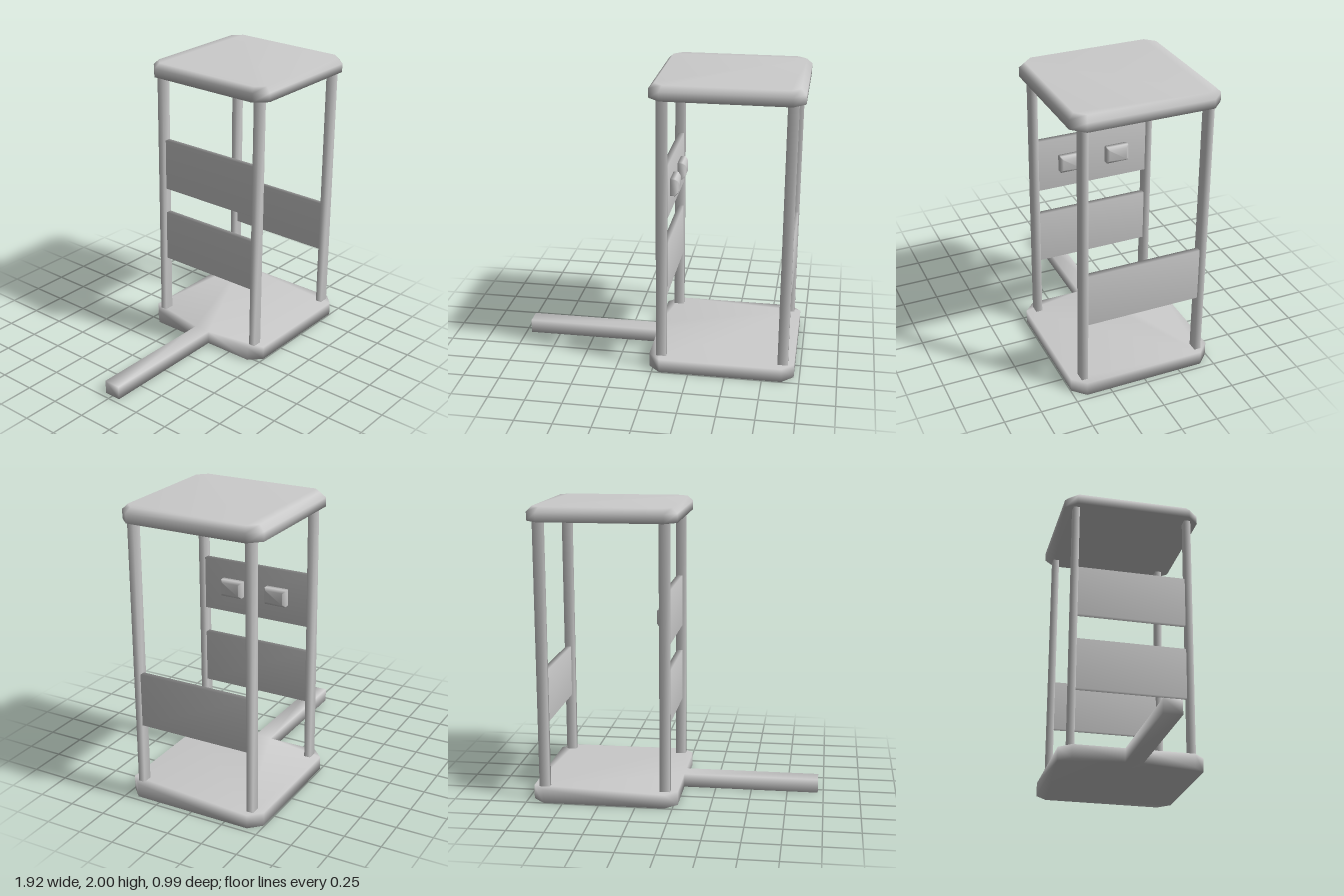
import * as THREE from 'three';
import { mergeVertices } from 'three/addons/utils/BufferGeometryUtils.js';

const material = new THREE.MeshStandardMaterial({ color: 0xcccccc });

// Weld the corners so that shading runs softly over the edges
function soften(geometry) {
  geometry.deleteAttribute('normal');
  geometry.deleteAttribute('uv');
  const welded = mergeVertices(geometry, 1e-4);
  welded.computeVertexNormals();
  return welded;
}

// Rectangle with cut corners, counter-clockwise seen from above
function cutRect(hw, hd, c) {
  const quarter = [[hw, hd - c], [hw - c, hd]];
  const other = [[-(hw - c), hd], [-hw, hd - c]];
  const half = [...quarter, ...other];
  return [...half, ...half.map(([x, y]) => [-x, -y])];
}

// Stack of cut rectangles [halfWidth, halfDepth, cut, y], capped at both ends
function loft(levels) {
  const positions = [], index = [], n = 8;
  for (const [hw, hd, c, y] of levels) {
    for (const [x, v] of cutRect(hw, hd, c)) positions.push(x, y, -v);
  }
  const top = (levels.length - 1) * n;
  for (let l = 0; l < top; l += n) {
    for (let i = 0; i < n; i++) {
      const a = l + i, b = l + (i + 1) % n;
      index.push(a, b, b + n, a, b + n, a + n);
    }
  }
  for (let i = 1; i < n - 1; i++) {
    index.push(top, top + i, top + i + 1, 0, i + 1, i);
  }
  const geometry = new THREE.BufferGeometry();
  geometry.setAttribute('position', new THREE.Float32BufferAttribute(positions, 3));
  geometry.setIndex(index);
  geometry.computeVertexNormals();
  return geometry;
}

export function createModel() {
  const group = new THREE.Group();
  const add = (name, geometry, x, y, z) => {
    const mesh = new THREE.Mesh(geometry, material);
    mesh.name = name;
    mesh.position.set(x, y, z);
    group.add(mesh);
  };
  const centre = 0.467, half = 0.495, cut = 0.08;

  // Floor plate with the long bar growing out of its side, one outline
  const plate = cutRect(half, half, cut).map(([x, y]) => new THREE.Vector2(x + centre, y));
  const bar = [[-0.028, 0.06], [-0.962, 0.06], [-0.962, -0.06], [-0.028, -0.06]]
    .map(([x, y]) => new THREE.Vector2(x, y));
  plate.splice(4, 0, ...bar);
  const floor = new THREE.ExtrudeGeometry(new THREE.Shape(plate), { depth: 0.095, bevelEnabled: false });
  floor.rotateX(-Math.PI / 2);
  add('floorWithBar', soften(floor), 0, 0, 0);

  // Roof plate with a chamfered upper rim
  add('roof', loft([
    [half, half, cut, 0],
    [half, half, cut, 0.06],
    [half - 0.035, half - 0.035, cut - 0.02, 0.095],
  ]), centre, 1.905, 0);

  // Four corner posts
  const post = soften(new THREE.BoxGeometry(0.07, 1.82, 0.045));
  for (const x of [0.057, 0.885]) {
    for (const z of [-0.413, 0.413]) add('post', post, x, 1.0, z);
  }

  // Boards between the posts: two on the bar side, one opposite
  const board = soften(new THREE.BoxGeometry(0.04, 0.365, 0.785));
  add('lowerBoard', board, 0.066, 0.7, 0);
  add('upperBoard', board, 0.066, 1.25, 0);
  add('oppositeBoard', board, 0.894, 0.7, 0);

  // Pair of chamfered pads on the upper board
  const pad = loft([
    [0.06, 0.082, 0.006, 0],
    [0.06, 0.082, 0.006, 0.035],
    [0.042, 0.064, 0.004, 0.053],
  ]).rotateZ(-Math.PI / 2);
  for (const z of [-0.168, 0.168]) add('pad', pad, 0.084, 1.25, z);

  return group;
}
